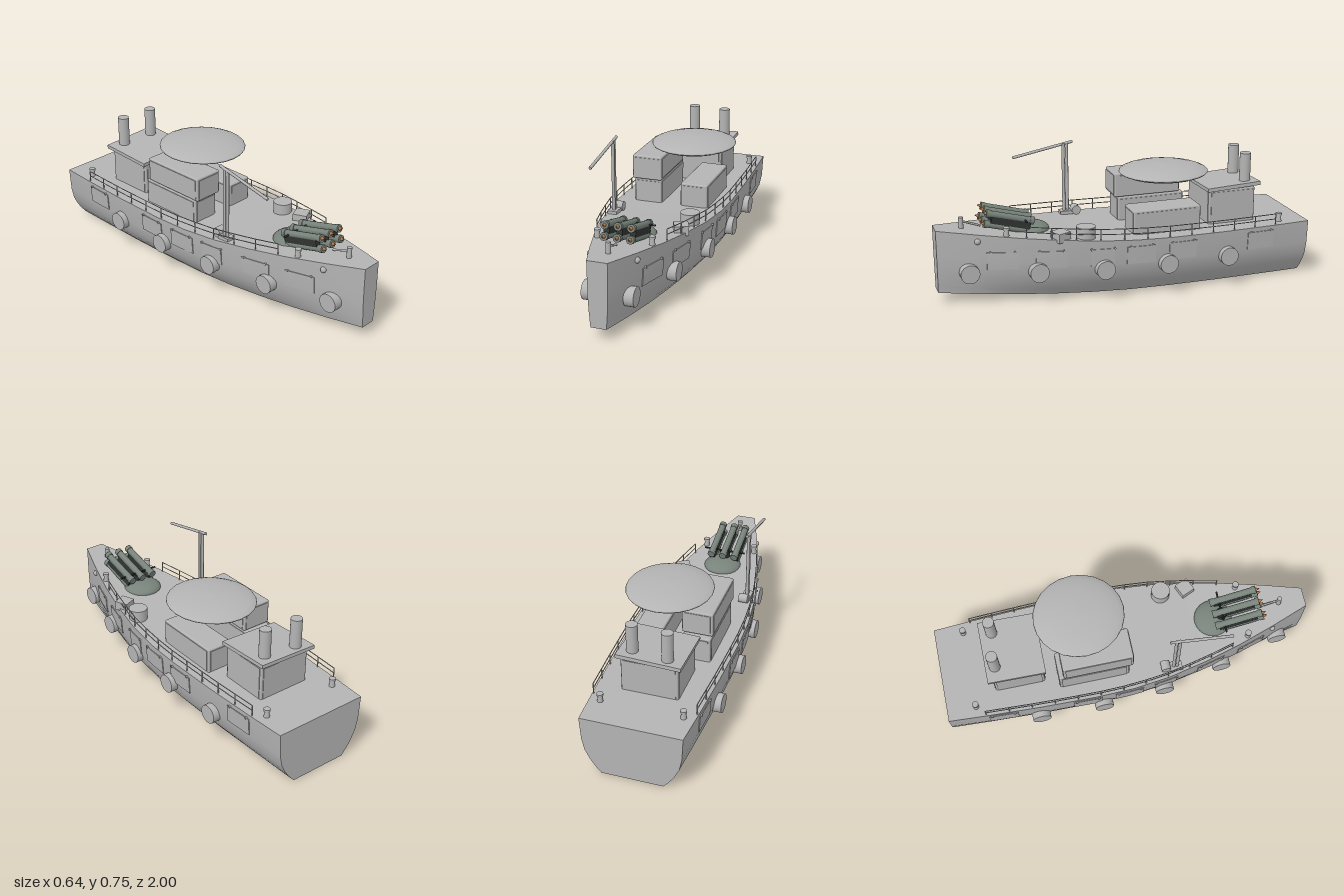
import * as THREE from 'three';
import { toCreasedNormals } from 'three/addons/utils/BufferGeometryUtils.js';
import { RoundedBoxGeometry } from 'three/addons/geometries/RoundedBoxGeometry.js';

// Hull stations: z, deck half width, deck height, bottom half width, bottom height
const STATIONS = [
  [-1, 0.262, 0.315, 0.16, 0], [-0.8, 0.274, 0.315, 0.165, 0], [-0.5, 0.288, 0.316, 0.17, 0],
  [-0.2, 0.296, 0.32, 0.17, 0.002], [0, 0.293, 0.326, 0.168, 0.006], [0.2, 0.272, 0.336, 0.155, 0.012],
  [0.4, 0.233, 0.35, 0.132, 0.02], [0.6, 0.183, 0.367, 0.106, 0.032], [0.8, 0.121, 0.386, 0.074, 0.047],
  [1, 0.052, 0.406, 0.04, 0.066],
];
// Side section: height fraction, width fraction between bottom and deck
const SECTION = [[0, 0], [0.12, 0.31], [0.24, 0.56], [0.4, 0.8], [0.6, 0.93], [1, 1]];

function lookUp(table, key, column) {
  let i = 1;
  while (i < table.length - 1 && table[i][0] < key) i++;
  const a = table[i - 1], b = table[i];
  return a[column] + (b[column] - a[column]) * (key - a[0]) / (b[0] - a[0]);
}
const deckWidth = z => lookUp(STATIONS, z, 1);
const deckY = z => lookUp(STATIONS, z, 2);
function hullX(z, y) {
  const [w, top, b, low] = [1, 2, 3, 4].map(c => lookUp(STATIONS, z, c));
  return b + (w - b) * lookUp(SECTION, (y - low) / (top - low), 1);
}

export function createModel() {
  const ship = new THREE.Group();
  ship.name = 'patrolShip';
  const mat = (name, color) => Object.assign(new THREE.MeshStandardMaterial({ color }), { name });
  const grey = mat('shipGrey', 0xb4b4b4);
  const green = mat('launcherGreenGrey', 0x78837b);
  const dark = mat('darkMetal', 0x303433);
  const copper = mat('copperTip', 0xb5743f);

  function add(name, geometry, material, x = 0, y = 0, z = 0, parent = ship) {
    const mesh = new THREE.Mesh(geometry, material);
    mesh.name = name;
    mesh.position.set(x, y, z);
    parent.add(mesh);
    return mesh;
  }
  const cyl = (r, h, sides = 20, r2 = r) => new THREE.CylinderGeometry(r2, r, h, sides);
  // Straight rod between two points
  function rod(name, a, b, r, material = grey, sides = 6, parent = ship) {
    const p = new THREE.Vector3(...a), q = new THREE.Vector3(...b);
    const mesh = add(name, cyl(r, p.distanceTo(q), sides), material, 0, 0, 0, parent);
    mesh.position.copy(p).lerp(q, 0.5);
    mesh.quaternion.setFromUnitVectors(new THREE.Vector3(0, 1, 0), q.sub(p).normalize());
    return mesh;
  }

  // Hull lofted through the stations, with flat bow and transom
  const pos = [], index = [], n = SECTION.length * 2;
  for (const [z, w, top, b, low] of STATIONS) {
    const half = SECTION.map(([v, u]) => [b + (w - b) * u, low + (top - low) * v]);
    for (const [x, y] of [...half].reverse()) pos.push(-x, y, z);
    for (const [x, y] of half) pos.push(x, y, z);
  }
  const last = (STATIONS.length - 1) * n;
  for (let i = 0; i < last; i += n) {
    for (let j = 0; j < n; j++) {
      const k = (j + 1) % n;
      index.push(i + j, i + k, i + n + k, i + j, i + n + k, i + n + j);
    }
  }
  for (let j = 1; j < n - 1; j++) index.push(0, j + 1, j, last, last + j, last + j + 1);
  const hull = new THREE.BufferGeometry();
  hull.setAttribute('position', new THREE.Float32BufferAttribute(pos, 3));
  hull.setIndex(index);
  add('hull', toCreasedNormals(hull, 0.45), grey);

  // Hull fittings on both sides
  for (const s of [-1, 1]) {
    for (const z of [0.845, 0.505, 0.17, -0.17, -0.515]) {
      const x = hullX(z, 0.18);
      add('fender', cyl(0.05, 0.05, 24), grey, s * (x + 0.012), 0.18, z).rotation.z = Math.PI / 2;
    }
    for (const z of [0.68, 0.44, 0.18, -0.025, -0.255, -0.71]) {
      // Plate bent to follow the hull
      const plate = new THREE.BoxGeometry(0.009, 0.095, z === 0.18 ? 0.12 : 0.155, 1, 2, 2);
      const p = plate.attributes.position;
      for (let i = 0; i < p.count; i++) {
        const y = p.getY(i) + 0.243, pz = p.getZ(i) + z;
        p.setXYZ(i, s * hullX(pz, y) + p.getX(i), y, pz);
      }
      plate.computeVertexNormals();
      add('hullPlate', plate, grey);
      for (const dz of [-0.06, 0.06]) {
        const bx = hullX(z + dz, 0.29);
        rod('plateBolt', [s * bx, 0.292, z + dz], [s * (bx + 0.01), 0.292, z + dz], 0.006);
      }
    }
    add('anchorBoss', new THREE.SphereGeometry(0.016, 12, 8), grey, s * hullX(0.8, 0.35), 0.35, 0.8);

    // Railing
    const zs = Array.from({ length: 12 }, (_, i) => 0.56 - i * 0.1236);
    const at = (z, h) => [s * (deckWidth(z) - 0.008), deckY(z) + h, z];
    zs.forEach((z, i) => {
      rod('railPost', at(z, 0), at(z, 0.06), 0.003);
      if (i) for (const h of [0.032, 0.06]) rod('railBar', at(zs[i - 1], h), at(z, h), 0.0025);
    });

    // Mooring bollards fore and aft
    for (const [x, z] of [[0.143, 0.655], [0.213, -0.845]]) {
      add('bollard', cyl(0.015, 0.036, 14, 0.012), grey, s * x, deckY(z) + 0.018, z);
      add('bollardCap', cyl(0.017, 0.012, 14), grey, s * x, deckY(z) + 0.04, z);
    }
  }

  // Bow post
  add('bowPost', cyl(0.013, 0.06, 12), grey, 0, deckY(0.86) + 0.028, 0.86);
  rod('bowPostStay', [0, 0.43, 0.86], [0, 0.395, 0.76], 0.006);

  // Deckhouse blocks, each with a raised front and side panel
  function block(name, x0, x1, y0, y1, z0, z1) {
    const w = x1 - x0, h = y1 - y0, d = z1 - z0;
    const x = (x0 + x1) / 2, y = (y0 + y1) / 2, z = (z0 + z1) / 2;
    add(name, new RoundedBoxGeometry(w, h, d, 2, 0.008), grey, x, y, z);
    add(name + 'EndPanel', new THREE.BoxGeometry(w - 0.025, h - 0.025, d + 0.006), grey, x, y, z);
    add(name + 'SidePanel', new THREE.BoxGeometry(w + 0.006, h - 0.025, d - 0.025), grey, x, y, z);
  }
  block('lowerRightHouse', -0.2, -0.05, 0.31, 0.455, -0.385, -0.01);
  block('upperRightHouse', -0.205, -0.042, 0.458, 0.59, -0.36, 0.012);
  block('leftHouse', 0.06, 0.208, 0.31, 0.452, -0.385, -0.01);
  block('aftCabin', -0.145, 0.15, 0.305, 0.505, -0.725, -0.458);
  const roof = add('aftRoof', new THREE.BoxGeometry(0.335, 0.02, 0.305), grey, 0, 0.513, -0.598);
  roof.rotation.set(0.05, 0, 0.035);

  // Funnels
  for (const [x, z] of [[-0.085, -0.7], [0.1, -0.685]]) add('funnel', cyl(0.03, 0.17, 24), grey, x, 0.6, z);

  // Lens-shaped dish
  const lens = [[0, -0.041], [0.08, -0.038], [0.15, -0.029], [0.2, -0.016], [0.225, -0.005], [0.228, 0],
    [0.225, 0.005], [0.2, 0.016], [0.15, 0.029], [0.08, 0.038], [0, 0.041]];
  const dish = new THREE.LatheGeometry(lens.map(p => new THREE.Vector2(...p)), 24);
  add('dish', dish, grey, 0.066, 0.62, -0.223).scale.z = 1.05;

  // Crane with twin mast, boom and winch
  for (const z of [0.228, 0.247]) rod('craneMast', [-0.222, 0.32, z], [-0.222, 0.735, z], 0.009, grey, 8);
  rod('craneBoom', [-0.222, 0.742, 0.195], [-0.23, 0.676, 0.525], 0.008, grey, 8);
  add('craneBase', new THREE.BoxGeometry(0.05, 0.025, 0.07), grey, -0.222, 0.345, 0.238);
  rod('winchDrum', [-0.24, 0.36, 0.185], [-0.19, 0.36, 0.185], 0.025, grey, 16);

  // Deck drum and hatch
  add('deckDrum', cyl(0.05, 0.07, 24), grey, 0.2, 0.365, 0.25);
  add('deckHatch', new THREE.BoxGeometry(0.075, 0.05, 0.075), grey, 0.198, 0.36, 0.385).rotation.y = 0.4;

  // Six-tube launcher on a domed turntable
  const launcher = new THREE.Group();
  launcher.name = 'launcher';
  ship.add(launcher);
  const dome = new THREE.SphereGeometry(0.105, 24, 8, 0, Math.PI * 2, 0, Math.PI / 2);
  add('turntable', dome, green, 0, 0.352, 0.5, launcher).scale.y = 0.38;
  rod('elevationBar', [-0.118, 0.425, 0.54], [0.118, 0.425, 0.54], 0.005, dark, 8, launcher);
  rod('launcherPedestal', [0, 0.36, 0.54], [0, 0.42, 0.54], 0.03, dark, 12, launcher);
  const tubes = new THREE.Group();
  tubes.name = 'tubes';
  tubes.position.set(0, 0.42, 0.625);
  tubes.rotation.x = -0.26;
  launcher.add(tubes);
  for (const x of [-0.068, 0, 0.068]) {
    add('tubeSpine', new THREE.BoxGeometry(0.03, 0.05, 0.21), dark, x, 0, -0.01, tubes);
    for (const y of [-0.028, 0.028]) {
      rod('tube', [x, y, -0.128], [x, y, 0.125], 0.018, green, 12, tubes);
      for (const z of [-0.12, 0.115]) rod('tubeCollar', [x, y, z - 0.01], [x, y, z + 0.012], 0.021, green, 12, tubes);
      const tip = add('tubeTip', new THREE.ConeGeometry(0.01, 0.022, 12), copper, x, y, 0.138, tubes);
      tip.rotation.x = Math.PI / 2;
    }
  }
  return ship;
}
